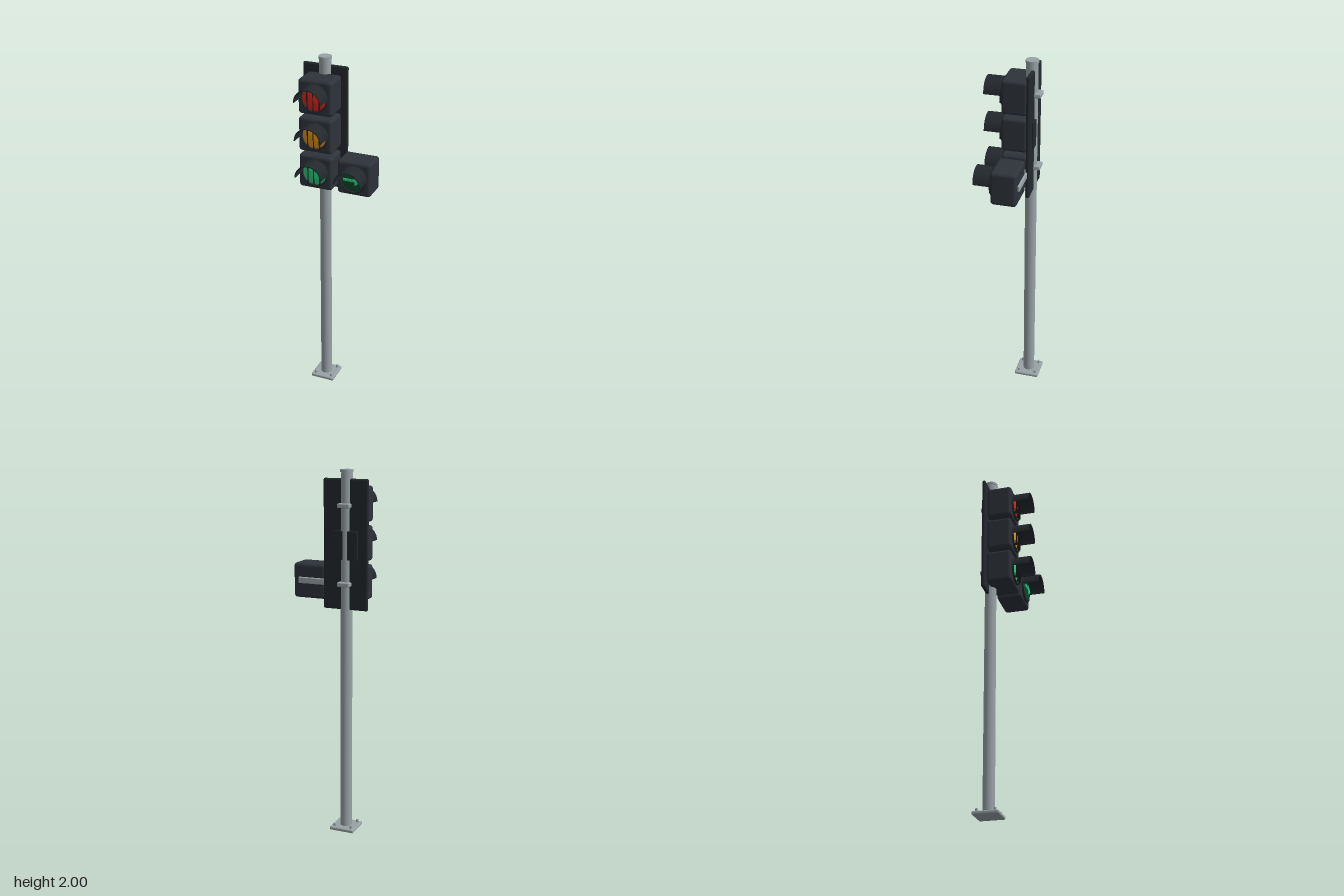
import * as THREE from 'three';
import { RoundedBoxGeometry } from 'three/addons/geometries/RoundedBoxGeometry.js';

const mat = (color, side = THREE.FrontSide) => new THREE.MeshStandardMaterial({ color, side });
const steel = mat(0x98a2a6);
const dark = mat(0x2d333a);
const plateDark = mat(0x23282d);
const visorDark = mat(0x23282d, THREE.DoubleSide);
const black = mat(0x15181b);

const POLE_X = -0.095, POLE_Z = -0.086;

function add(parent, name, geometry, material, x = 0, y = 0, z = 0) {
  const mesh = new THREE.Mesh(geometry, material);
  mesh.name = name;
  mesh.position.set(x, y, z);
  parent.add(mesh);
  return mesh;
}

const rbox = (w, h, d, r) => new RoundedBoxGeometry(w, h, d, 4, r);

// Revolved profile [radius, z] turned so its axis faces +z
function latheZ(points, segments = 48) {
  const profile = points.map(([r, z]) => new THREE.Vector2(r, z));
  return new THREE.LatheGeometry(profile, segments).rotateX(Math.PI / 2);
}

// Half-round hood over a lens
function visorGeometry() {
  const s = new THREE.Shape();
  s.absarc(0, 0, 0.0755, 0, Math.PI, false);
  s.absarc(0, 0, 0.0705, Math.PI, 0, true);
  s.closePath();
  return new THREE.ExtrudeGeometry(s, { depth: 0.095, bevelEnabled: false, curveSegments: 32 });
}

function arrowGeometry() {
  const half = [[-0.05, 0.007], [0.014, 0.007], [0.014, 0.029], [0.05, 0]];
  const mirrored = half.slice(0, 3).reverse().map(([x, y]) => [x, -y]);
  const s = new THREE.Shape([...half, ...mirrored].map(([x, y]) => new THREE.Vector2(x, y)));
  return new THREE.ExtrudeGeometry(s, { depth: 0.006, bevelEnabled: false });
}

// One lamp: housing, collar, domed lens, hood and either fins or an arrow
function lamp(name, lensColor, arrowColor) {
  const g = new THREE.Group();
  g.name = name;
  add(g, 'housing', rbox(0.19, 0.19, 0.142, 0.018), dark, 0, 0, -0.0145);
  add(g, 'collar', latheZ([[0.077, 0.045], [0.077, 0.066], [0.067, 0.066], [0.067, 0.045]]), visorDark);

  const dome = [];
  for (let i = 0; i <= 10; i++) {
    const a = (i / 10) * Math.PI / 2;
    dome.push([0.068 * Math.cos(a), 0.058 + 0.015 * Math.sin(a)]);
  }
  add(g, 'lens', latheZ(dome), mat(lensColor, THREE.DoubleSide));
  add(g, 'visor', visorGeometry(), visorDark, 0, 0, 0.06);

  if (arrowColor) {
    add(g, 'arrow', arrowGeometry(), mat(arrowColor), 0, 0, 0.07);
  } else {
    for (const x of [-0.034, 0, 0.034]) {
      const h = 2 * Math.sqrt(0.067 ** 2 - x * x);
      add(g, 'louvreFin', new THREE.BoxGeometry(0.002, h, 0.022), black, x, 0, 0.069);
    }
  }
  return g;
}

export function createModel() {
  const model = new THREE.Group();
  model.name = 'trafficLight';

  // Pole, cap and bolted foot
  add(model, 'pole', new THREE.CylinderGeometry(0.032, 0.032, 1.97, 40), steel, POLE_X, 1.0, POLE_Z);
  add(model, 'poleCap', new THREE.CylinderGeometry(0.035, 0.035, 0.014, 40), steel, POLE_X, 1.993, POLE_Z);
  add(model, 'basePlate', rbox(0.141, 0.02, 0.141, 0.007), steel, POLE_X, 0.01, POLE_Z);
  for (const sx of [-1, 1]) for (const sz of [-1, 1]) {
    add(model, 'baseBolt', new THREE.CylinderGeometry(0.007, 0.007, 0.018, 6),
      steel, POLE_X + sx * 0.049, 0.027, POLE_Z + sz * 0.049);
  }

  // Backing board with rear cover and pole clamps
  add(model, 'backBoard', rbox(0.254, 0.693, 0.02, 0.009), plateDark, POLE_X, 1.607, -0.096);
  add(model, 'rearCover', rbox(0.143, 0.155, 0.014, 0.004), plateDark, POLE_X, 1.605, -0.108);
  for (const y of [1.815, 1.4]) {
    add(model, 'poleClamp', rbox(0.07, 0.024, 0.045, 0.006), steel, POLE_X, y, -0.1185);
  }

  // Main stack of three lamps
  [['stopLamp', 0xe0261c], ['cautionLamp', 0xe0941a], ['goLamp', 0x2bcf80]].forEach(([name, color], i) => {
    const l = lamp(name, color);
    l.position.set(POLE_X, 1.815 - i * 0.209, 0);
    model.add(l);
  });

  // Side arrow lamp on its arm
  const side = lamp('arrowLamp', 0x0f4a30, 0x2bd586);
  side.position.set(0.125, 1.397, 0);
  model.add(side);
  add(model, 'sideArm', rbox(0.26, 0.034, 0.036, 0.005), steel, 0.058, 1.4, -0.078);

  return model;
}
